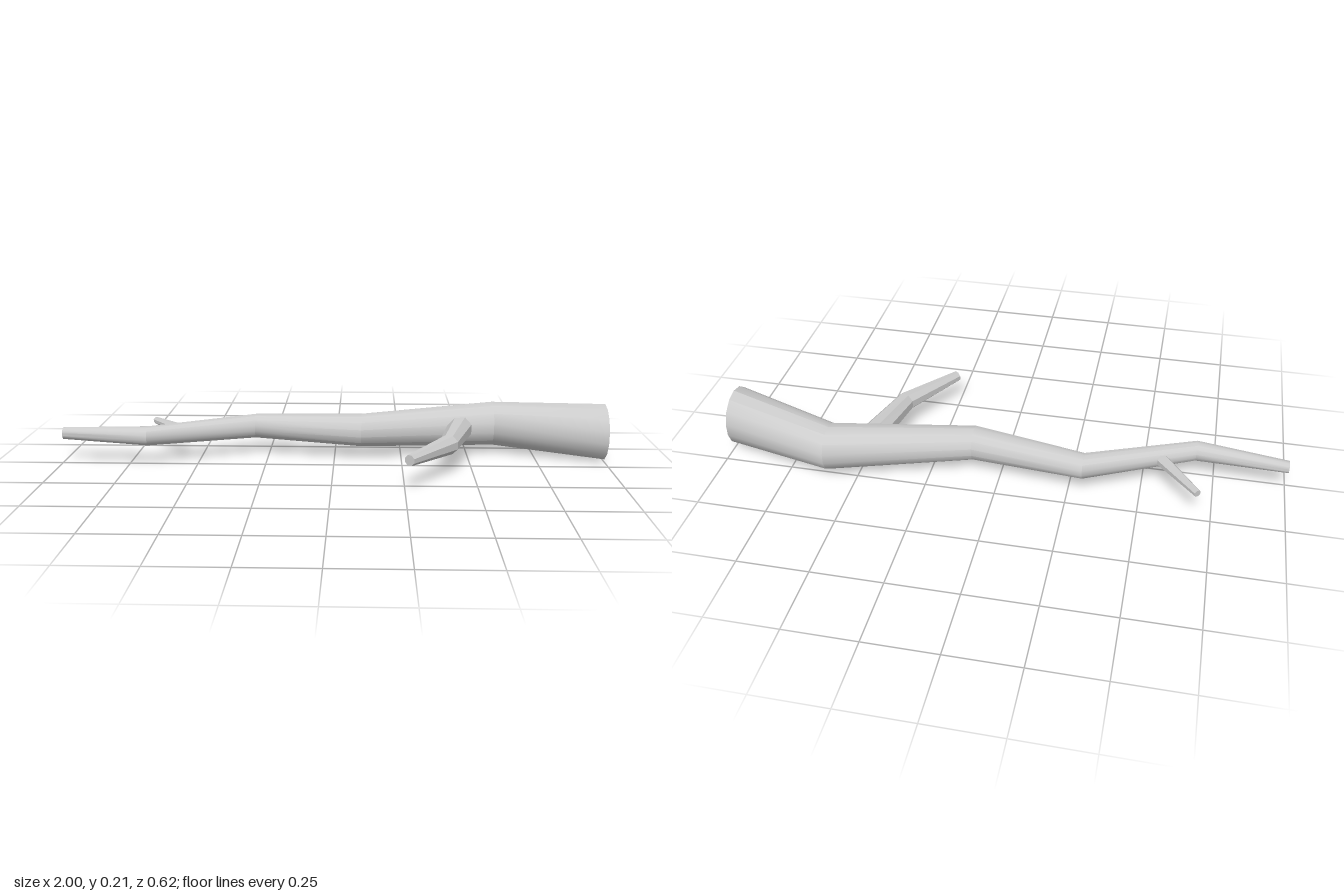
import * as THREE from 'three';
import { toCreasedNormals } from 'three/addons/utils/BufferGeometryUtils.js';

const AXIS_Y = 0.105;

// Skins a row of upright rings [x, z, radius, yaw]; the yaw turns the ring's axis from +x towards +z.
// A radius of 0 closes an end. Phase shifts the corners by a fraction of one side.
function loft(rings, sides, phase = 0) {
  const point = ([x, z, r, yaw = 0], j) => {
    const a = ((j + phase) / sides) * Math.PI * 2;
    const s = r * Math.sin(a);
    return [x + s * Math.sin(yaw), AXIS_Y + r * Math.cos(a), z - s * Math.cos(yaw)];
  };
  const pos = [];
  for (let i = 0; i < rings.length - 1; i++) {
    const a = rings[i], b = rings[i + 1];
    for (let j = 0; j < sides; j++) {
      if (a[2] > 0) pos.push(...point(a, j), ...point(b, j), ...point(a, j + 1));
      if (b[2] > 0) pos.push(...point(b, j), ...point(b, j + 1), ...point(a, j + 1));
    }
  }
  const geo = new THREE.BufferGeometry();
  geo.setAttribute('position', new THREE.Float32BufferAttribute(pos, 3));
  geo.computeVertexNormals();
  return geo;
}

// Tapered twig along [x, z, radius]; each ring is square to the path, both ends closed
function twig(path, sides) {
  const rings = path.map(([x, z, r], i) => {
    const p = path[Math.max(i - 1, 0)], n = path[Math.min(i + 1, path.length - 1)];
    return [x, z, r, Math.atan2(n[1] - p[1], n[0] - p[0])];
  });
  const cap = ([x, z, , yaw]) => [x, z, 0, yaw];
  return loft([cap(rings[0]), ...rings, cap(rings[rings.length - 1])], sides, 0.5);
}

export function createModel() {
  const group = new THREE.Group();
  const smooth = new THREE.MeshStandardMaterial({ color: 0xcccccc });
  const faceted = new THREE.MeshStandardMaterial({ color: 0xcccccc, flatShading: true });
  const add = (name, geo, mat) => {
    const mesh = new THREE.Mesh(geo, mat);
    mesh.name = name;
    group.add(mesh);
  };

  // Crooked tapering branch, with a shallow hollow in its thick end
  const branch = loft([
    [-1, -0.03, 0],
    [-1, -0.03, 0.022],
    [-0.68, 0, 0.036],
    [-0.3, -0.165, 0.046],
    [0.1, -0.11, 0.062],
    [0.6, -0.231, 0.084],
    [1, -0.113, 0.105],
    [1, -0.113, 0.088],
    [0.945, -0.129, 0.087],
    [0.945, -0.129, 0],
  ], 14);
  add('mainBranch', toCreasedNormals(branch, 0.46), smooth);

  // Side twigs, rooted inside the main branch
  add('frontTwig', twig([
    [0.48, -0.18, 0.049],
    [0.412, 0.09, 0.036],
    [0.264, 0.298, 0.02],
  ], 8), faceted);
  add('backTwig', twig([
    [-0.54, -0.05, 0.025],
    [-0.696, -0.238, 0.013],
  ], 8), faceted);

  return group;
}
